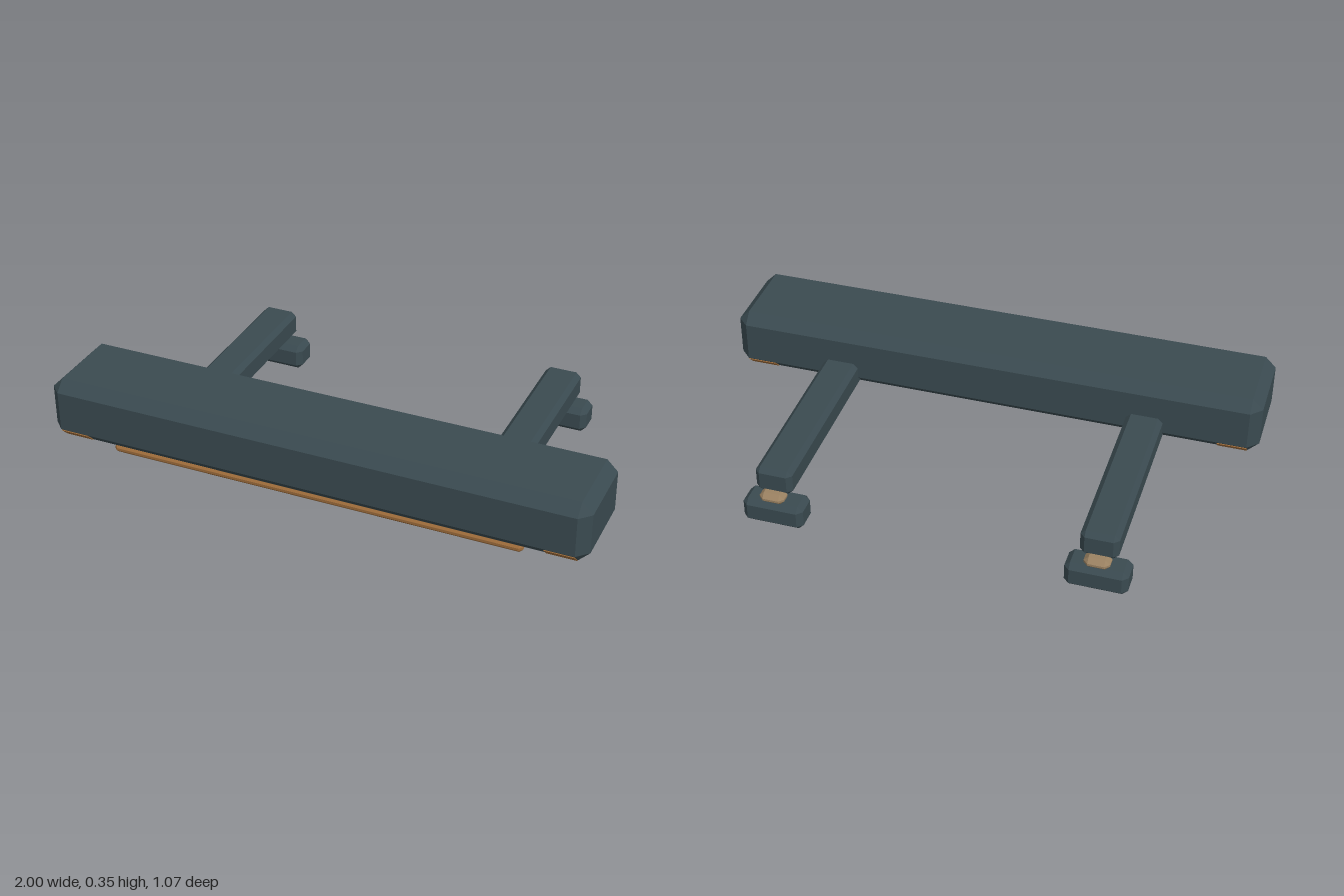
import * as THREE from 'three';
import { ConvexGeometry } from 'three/addons/geometries/ConvexGeometry.js';

const slate = new THREE.MeshStandardMaterial({ color: 0x3a4a50 });
slate.name = 'slate';
const bronze = new THREE.MeshStandardMaterial({ color: 0x9c6b3a });
bronze.name = 'bronze';
const paleBronze = new THREE.MeshStandardMaterial({ color: 0x9b8262 });
paleBronze.name = 'paleBronze';

// Box between two corners, every edge cut at 45 degrees by c
function chamferBox(name, material, min, max, c) {
  const size = max.map((v, i) => (v - min[i]) / 2);
  const points = [];
  for (const sx of [-1, 1]) for (const sy of [-1, 1]) for (const sz of [-1, 1]) {
    for (let axis = 0; axis < 3; axis++) {
      const p = [sx, sy, sz].map((s, i) => s * (size[i] - (i === axis ? 0 : c)));
      points.push(new THREE.Vector3(...p));
    }
  }
  const mesh = new THREE.Mesh(new ConvexGeometry(points), material);
  mesh.name = name;
  mesh.position.set(...max.map((v, i) => (v + min[i]) / 2));
  return mesh;
}

export function createModel() {
  const model = new THREE.Group();
  model.name = 'bracketBar';

  // Main bar and the pad under it
  model.add(chamferBox('mainBar', slate, [-1, 0.125, 0.187], [1, 0.354, 0.537], 0.04));
  model.add(chamferBox('underPad', bronze, [-0.77, 0.093, 0.296], [0.77, 0.126, 0.5], 0.012));

  for (const side of [-1, 1]) {
    const label = side > 0 ? 'left' : 'right';

    // Rear arm with knob and foot
    const x = side * 0.584;
    const arm = new THREE.Group();
    arm.name = label + 'Arm';
    arm.add(
      chamferBox('armBeam', slate, [x - 0.068, 0.124, -0.5], [x + 0.068, 0.224, 0.3], 0.018),
      chamferBox('knob', paleBronze, [x - 0.046, 0.097, -0.533], [x + 0.046, 0.139, -0.468], 0.017),
      chamferBox('foot', slate, [x - 0.112, 0, -0.533], [x + 0.112, 0.098, -0.425], 0.02)
    );
    model.add(arm);

    // Inlays on the lower bevels, front and back
    for (const face of [-1, 1]) {
      const inlay = new THREE.Mesh(new THREE.BoxGeometry(0.107, 0.046, 0.006), bronze);
      inlay.name = label + (face > 0 ? 'FrontInlay' : 'BackInlay');
      inlay.position.set(side * 0.906, 0.143, 0.362 + face * 0.153);
      inlay.rotation.x = face * Math.PI / 4;
      model.add(inlay);
    }
  }
  return model;
}
